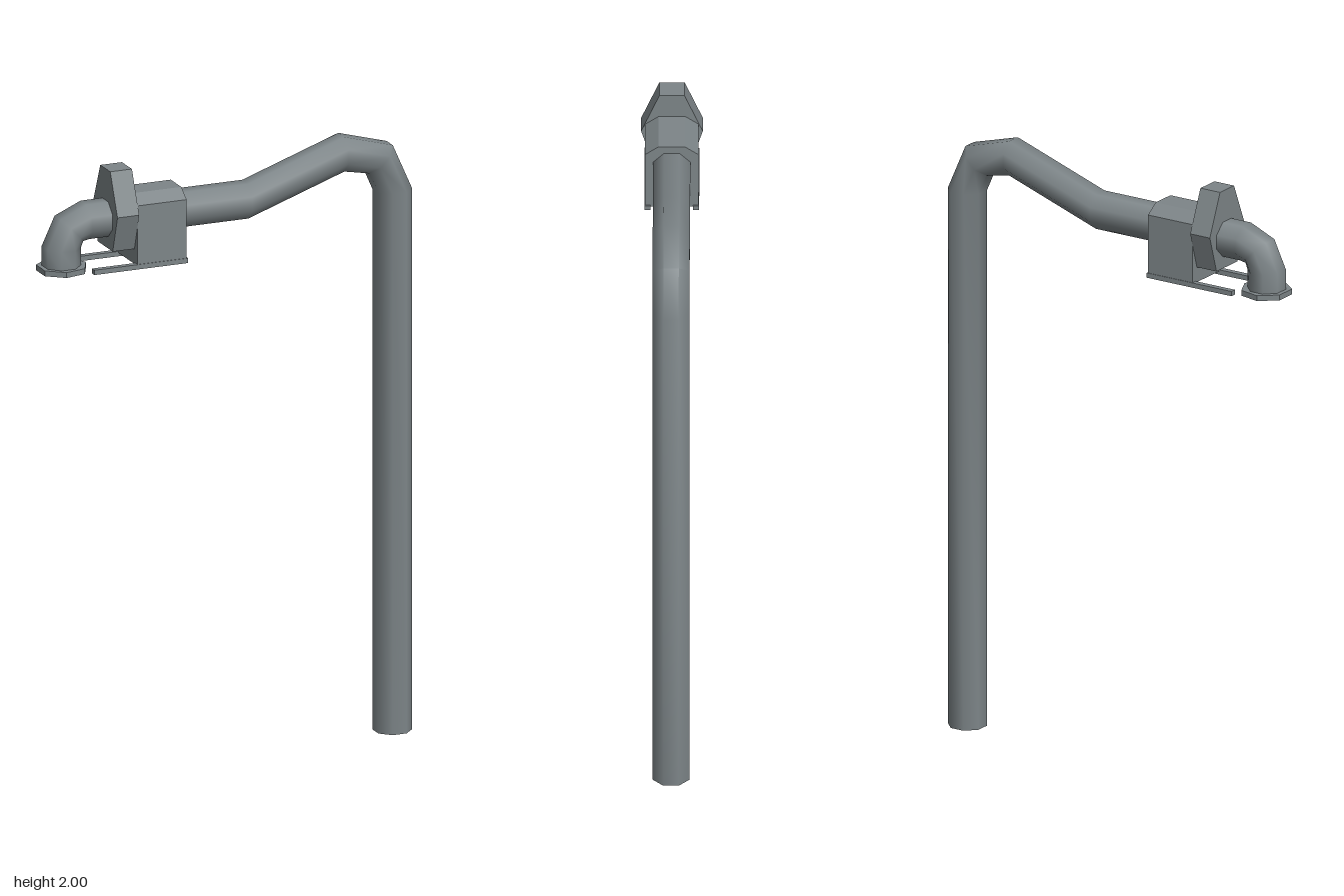
import * as THREE from 'three';
import { toCreasedNormals } from 'three/addons/utils/BufferGeometryUtils.js';

// Octagonal pipe swept through mitred rings, each given as [outerX, outerY, innerX, innerY]
function pipeGeometry(rings, halfDepth) {
  const n = 8, pos = [], idx = [];
  const k = 1 / Math.cos(Math.PI / n); // flat-to-flat size
  for (const [ox, oy, ix, iy] of rings) {
    for (let j = 0; j < n; j++) {
      const a = ((j + 0.5) / n) * Math.PI * 2;
      const c = Math.cos(a) * k, s = Math.sin(a) * k;
      pos.push((ox + ix) / 2 + ((ox - ix) / 2) * c, (oy + iy) / 2 + ((oy - iy) / 2) * c, s * halfDepth);
    }
  }
  for (let i = 0; i < rings.length - 1; i++) {
    for (let j = 0; j < n; j++) {
      const a = i * n + j, b = i * n + ((j + 1) % n);
      idx.push(a, a + n, b + n, a, b + n, b);
    }
  }
  const last = (rings.length - 1) * n;
  for (let j = 1; j < n - 1; j++) {
    idx.push(0, j, j + 1, last, last + j + 1, last + j);
  }
  const g = new THREE.BufferGeometry();
  g.setAttribute('position', new THREE.Float32BufferAttribute(pos, 3));
  g.setIndex(idx);
  return toCreasedNormals(g, 1.0);
}

// Outline in (z, y), extruded along x between x0 and x1
function crossPlate(points, x0, x1) {
  const shape = new THREE.Shape(points.map(([z, y]) => new THREE.Vector2(z, y)));
  const g = new THREE.ExtrudeGeometry(shape, { depth: x1 - x0, bevelEnabled: false });
  return g.rotateY(Math.PI / 2).translate(x0, 0, 0);
}

export function createModel() {
  const group = new THREE.Group();
  const metal = new THREE.MeshStandardMaterial({ color: 0x7d8588 });
  metal.name = 'greyMetal';
  const add = (name, geometry) => {
    const mesh = new THREE.Mesh(geometry, metal);
    mesh.name = name;
    group.add(mesh);
    return mesh;
  };

  // Upright, bent top, horizontal run and downturned elbow
  add('pipe', pipeGeometry([
    [0.637, 0, 0.52, 0],
    [0.637, 1.8, 0.52, 1.8],
    [0.57, 1.952, 0.49, 1.868],
    [0.402, 2.0, 0.402, 1.885],
    [0.07, 1.885, 0.07, 1.77],
    [-0.49, 1.885, -0.48, 1.77],
    [-0.58, 1.846, -0.502, 1.766],
    [-0.625, 1.75, -0.51, 1.745],
    [-0.625, 1.68, -0.51, 1.68],
  ], 0.059));

  // Seven-sided outlet flange
  const flange = new THREE.CylinderGeometry(0.083, 0.083, 0.018, 7, 1, false, Math.PI / 2);
  add('outletFlange', toCreasedNormals(flange, 0.5)).position.set(-0.565, 1.678, 0);

  // Tapered collar around the pipe
  add('collar', crossPlate([
    [-0.06, 1.73], [0.06, 1.73], [0.098, 1.853],
    [0.04, 1.99], [-0.04, 1.99], [-0.098, 1.853],
  ], -0.415, -0.34));

  // Housing with chamfered top edges
  add('housing', crossPlate([
    [-0.085, 1.68], [0.085, 1.68], [0.085, 1.88],
    [0.042, 1.91], [-0.042, 1.91], [-0.085, 1.88],
  ], -0.34, -0.17));

  // Pair of rails under the housing
  for (const side of [-1, 1]) {
    add(side > 0 ? 'frontRail' : 'backRail', new THREE.BoxGeometry(0.325, 0.016, 0.02))
      .position.set(-0.328, 1.677, side * 0.077);
  }

  return group;
}
